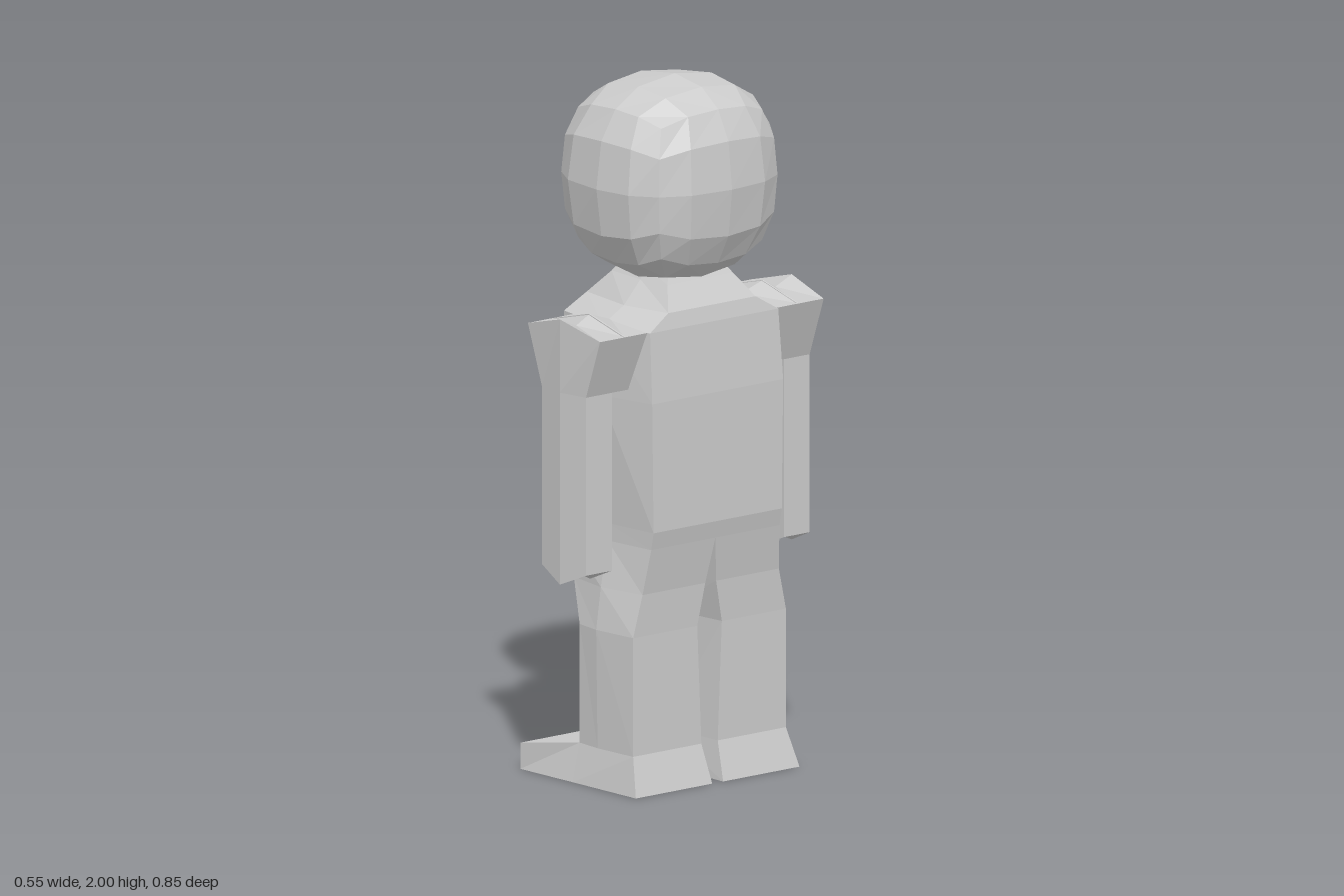
import * as THREE from 'three';

const material = new THREE.MeshStandardMaterial({ color: 0xcccccc, flatShading: true });

// Skin a closed solid over rings of [x, y, z] points, capped at both ends, faces outward.
function loft(name, rings) {
  const pos = [];
  const tri = (a, b, c) => pos.push(...a, ...b, ...c);
  const n = rings[0].length;
  for (let r = 0; r < rings.length - 1; r++) {
    for (let i = 0; i < n; i++) {
      const j = (i + 1) % n, p = rings[r], q = rings[r + 1];
      tri(p[i], p[j], q[j]);
      tri(p[i], q[j], q[i]);
    }
  }
  const first = rings[0], last = rings[rings.length - 1];
  const centre = (ring) => [0, 1, 2].map((k) => ring.reduce((s, p) => s + p[k], 0) / n);
  for (let i = 0; i < n; i++) {
    const j = (i + 1) % n;
    tri(first[j], first[i], centre(first));
    tri(last[i], last[j], centre(last));
  }
  // Turn the solid right side out if its signed volume is negative.
  let volume = 0;
  const [a, b, c] = [0, 1, 2].map(() => new THREE.Vector3());
  for (let i = 0; i < pos.length; i += 9) {
    volume += a.fromArray(pos, i).dot(b.fromArray(pos, i + 3).cross(c.fromArray(pos, i + 6)));
  }
  if (volume < 0) {
    for (let i = 0; i < pos.length; i += 9) {
      for (let k = 0; k < 3; k++) [pos[i + 3 + k], pos[i + 6 + k]] = [pos[i + 6 + k], pos[i + 3 + k]];
    }
  }
  const geo = new THREE.BufferGeometry();
  geo.setAttribute('position', new THREE.Float32BufferAttribute(pos, 3));
  geo.computeVertexNormals();
  const mesh = new THREE.Mesh(geo, material);
  mesh.name = name;
  return mesh;
}

// Head: a subdivided cube rounded into a blocky ball.
function makeHead() {
  const geo = new THREE.BoxGeometry(2, 2, 2, 4, 4, 4);
  const p = geo.attributes.position;
  for (let i = 0; i < p.count; i++) {
    const [x, y, z] = [p.getX(i), p.getY(i), p.getZ(i)];
    const len = (Math.abs(x) ** 2.5 + Math.abs(y) ** 2.5 + Math.abs(z) ** 2.5) ** 0.4;
    const u = x / len;
    p.setXYZ(i, u * 0.277 + 0.03 * (1 - Math.abs(u)), 1.71 + (y / len) * 0.29, (z / len) * 0.287);
  }
  geo.computeVertexNormals();
  const head = new THREE.Mesh(geo, material);
  head.name = 'head';
  return head;
}

// Torso and neck: y, front x, back x, half width at the edges, half width at mid depth.
function makeTorso() {
  const rows = [
    [1.46, -0.08, 0.12, 0.1, 0.11],
    [1.43, -0.1, 0.14, 0.12, 0.13],
    [1.365, -0.16, 0.19, 0.16, 0.19],
    [1.32, -0.17, 0.2, 0.235, 0.27],
    [1.12, -0.18, 0.215, 0.24, 0.275],
    [0.75, -0.18, 0.215, 0.235, 0.25],
    [0.7, -0.17, 0.205, 0.235, 0.25],
  ];
  return loft('torso', rows.map(([y, f, b, e, m]) => [
    [f, y, 0], [f, y, e], [0.035, y, m], [b, y, e],
    [b, y, 0], [b, y, -e], [0.035, y, -m], [f, y, -e],
  ]));
}

// Arm ring: ridged in the middle, y at the edges and at the ridge.
const armRing = (s, half, yEdge, yMid, inner, edge, mid) => [
  [0.035 - half, yEdge, s * inner], [0.035, yMid, s * inner], [0.035 + half, yEdge, s * inner],
  [0.035 + half, yEdge, s * edge], [0.035, yMid, s * mid], [0.035 - half, yEdge, s * edge],
];

function makeSide(s, label) {
  const side = new THREE.Group();
  side.name = label;

  side.add(loft('arm', [
    armRing(s, 0.155, 1.32, 1.36, 0.315, 0.41, 0.425),
    armRing(s, 0.095, 1.15, 1.15, 0.315, 0.41, 0.425),
    armRing(s, 0.095, 0.64, 0.6, 0.315, 0.41, 0.425),
  ]));

  // Shoulder bridge between torso and arm
  side.add(loft('shoulder', [
    armRing(s, 0.155, 1.32, 1.36, 0.16, 0.32, 0.32),
    armRing(s, 0.095, 1.15, 1.11, 0.16, 0.32, 0.32),
  ]));

  // Leg rows: y, front x, back x, inner front z, inner back z, outer z, outer mid z
  const legRows = [
    [0.7, -0.17, 0.205, 0, 0, 0.235, 0.25],
    [0.57, -0.11, 0.185, 0, 0.02, 0.25, 0.275],
    [0.45, -0.05, 0.18, 0.025, 0.045, 0.28, 0.292],
    [0.11, -0.05, 0.18, 0.025, 0.03, 0.28, 0.287],
  ];
  side.add(loft('leg', legRows.map(([y, f, b, inF, inB, out, mid]) => [
    [f, y, s * inF], [f, y, s * out], [0.035, y, s * mid], [b, y, s * out], [b, y, s * inB],
  ])));

  // Foot rows: bottom x, top x, top y, bottom inner/outer z, top inner/outer z
  const footRows = [
    [-0.27, -0.27, 0.075, 0.02, 0.31, 0.02, 0.31],
    [-0.05, -0.05, 0.11, 0.02, 0.305, 0.025, 0.28],
    [0.215, 0.18, 0.11, 0.02, 0.3, 0.03, 0.28],
  ];
  side.add(loft('foot', footRows.map(([xb, xt, y, bi, bo, ti, to]) => [
    [xb, 0, s * bi], [xb, 0, s * bo], [xt, y, s * to], [xt, y, s * ti],
  ])));
  return side;
}

export function createModel() {
  const model = new THREE.Group();
  model.name = 'figure';
  model.add(makeHead(), makeTorso(), makeSide(1, 'limbsFrontSide'), makeSide(-1, 'limbsBackSide'));
  return model;
}
